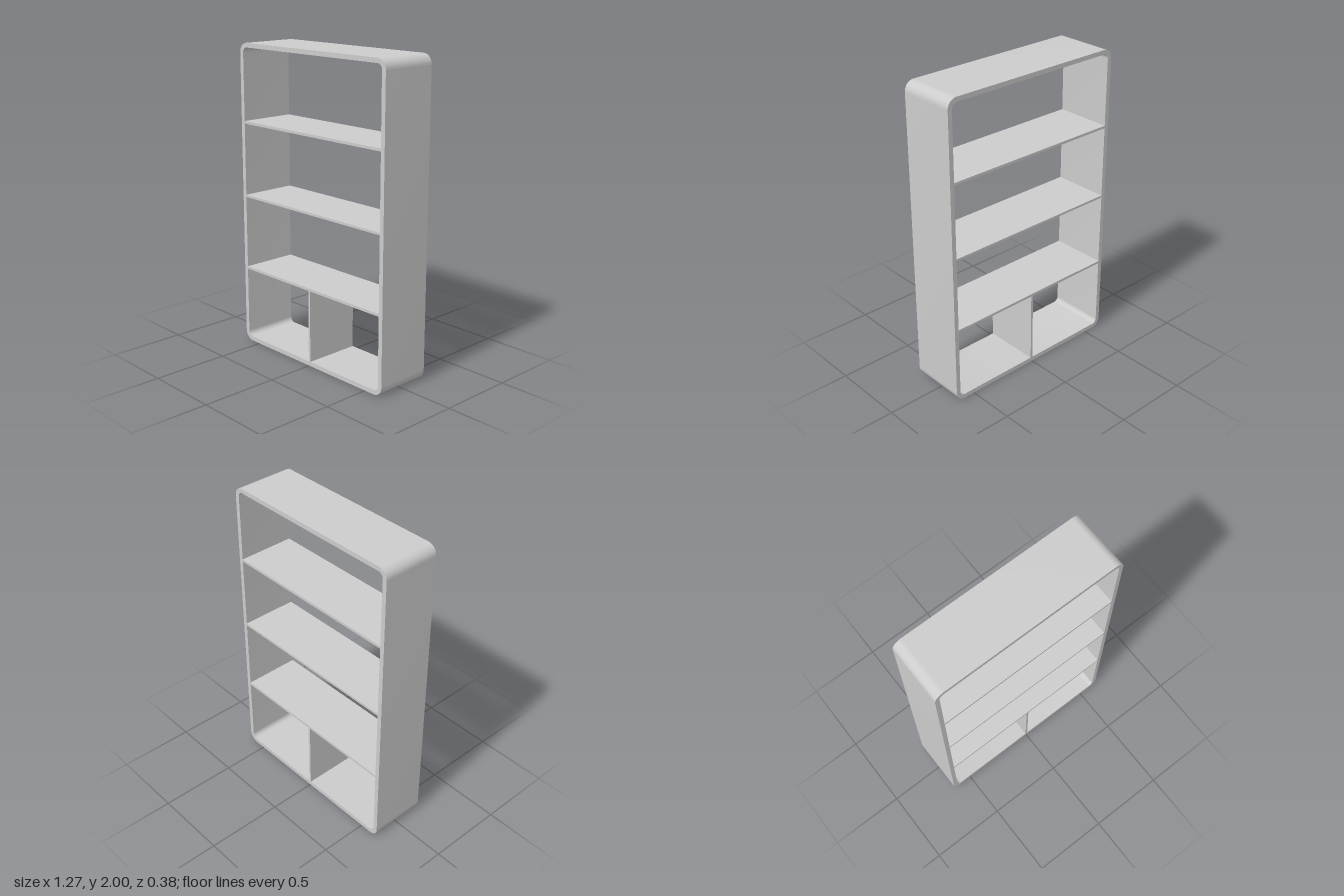
import * as THREE from 'three';
import { toCreasedNormals } from 'three/addons/utils/BufferGeometryUtils.js';

const HALF_W = 0.636, HEIGHT = 2, DEPTH = 0.376, WALL = 0.029, RADIUS = 0.063;

// Trace a rounded rectangle, counter-clockwise, inset from the outer outline
function roundedRect(path, inset) {
  const r = RADIUS - inset;
  const x = HALF_W - RADIUS, lo = RADIUS, hi = HEIGHT - RADIUS, q = Math.PI / 2;
  path.moveTo(-x, inset);
  path.absarc(x, lo, r, -q, 0, false);
  path.absarc(x, hi, r, 0, q, false);
  path.absarc(-x, hi, r, q, 2 * q, false);
  path.absarc(-x, lo, r, 2 * q, 3 * q, false);
  return path;
}

export function createModel() {
  const group = new THREE.Group();
  group.name = 'bookcase';
  const grey = new THREE.MeshStandardMaterial({ color: 0xcccccc });
  grey.name = 'light grey';

  function add(name, geometry, x = 0, y = 0, z = 0) {
    const mesh = new THREE.Mesh(geometry, grey);
    mesh.name = name;
    mesh.position.set(x, y, z);
    group.add(mesh);
  }

  // Outer frame: one rounded hollow band, open front and back
  const outline = roundedRect(new THREE.Shape(), 0);
  outline.holes.push(roundedRect(new THREE.Path(), WALL));
  const frame = new THREE.ExtrudeGeometry(outline, {
    depth: DEPTH, bevelEnabled: false, curveSegments: 16,
  });
  add('frame', toCreasedNormals(frame, 0.5), 0, 0, -DEPTH / 2);

  // Shelves spanning the frame: [centre height, thickness]
  const shelfWidth = 2 * (HALF_W - WALL);
  [[0.512, 0.017], [1.005, 0.015], [1.492, 0.017]].forEach(([y, t], i) => {
    add(`shelf${i + 1}`, new THREE.BoxGeometry(shelfWidth, t, DEPTH), 0, y, 0);
  });

  // Upright divider in the bottom bay
  const bottom = WALL, top = 0.504;
  add('divider', new THREE.BoxGeometry(0.015, top - bottom, DEPTH), 0.003, (bottom + top) / 2, 0);

  return group;
}
